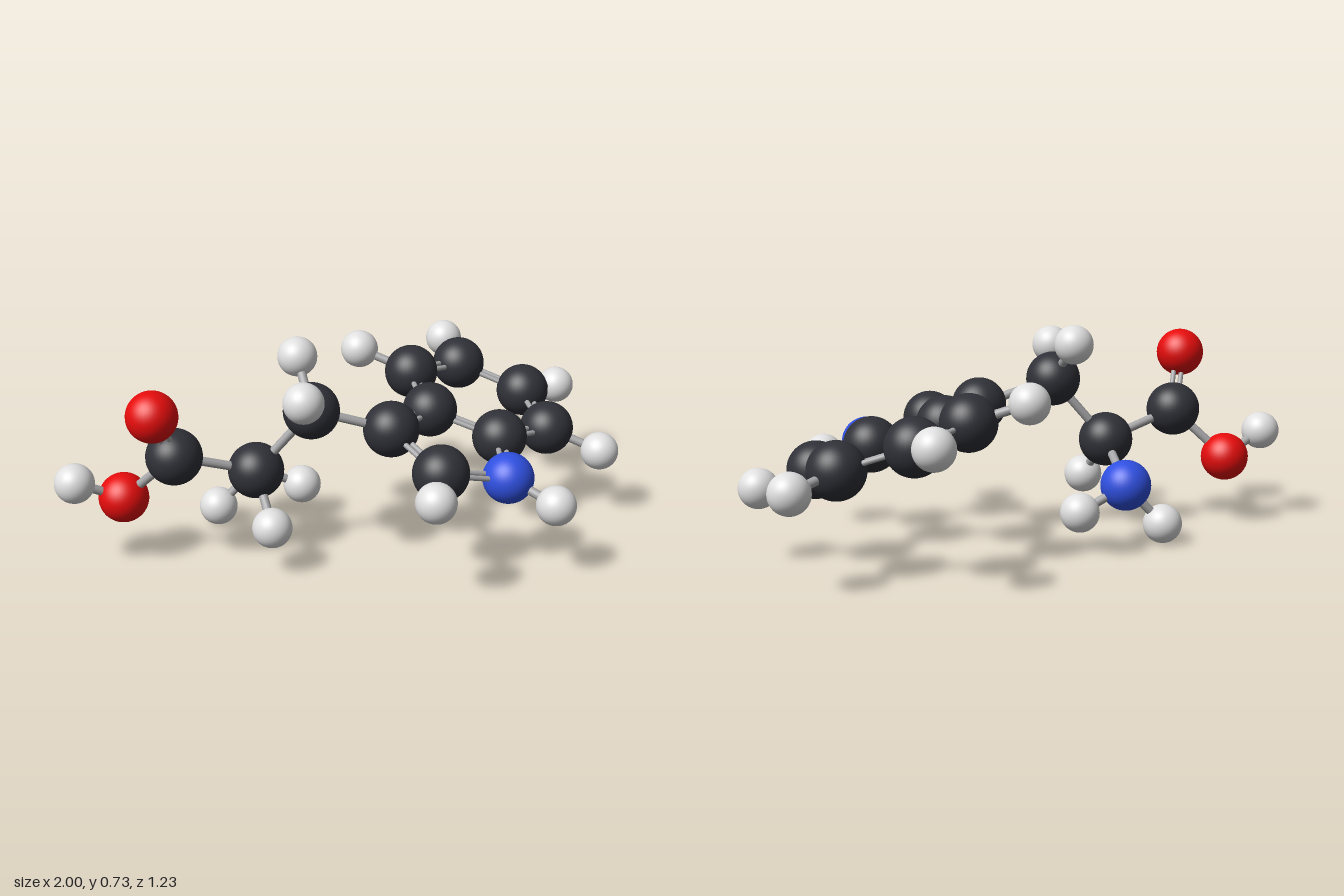
import * as THREE from 'three';

const mat = (name, color) => Object.assign(new THREE.MeshStandardMaterial({ color }), { name });

export function createModel() {
  const model = new THREE.Group();
  model.name = 'ballAndStickMolecule';

  // Kinds of ball: material, radius and part name
  const kinds = {
    C: { material: mat('charcoal', 0x303138), radius: 0.093, name: 'carbon' },
    N: { material: mat('blue', 0x2f50e0), radius: 0.085, name: 'nitrogen' },
    O: { material: mat('red', 0xe60c0c), radius: 0.083, name: 'oxygen' },
    H: { material: mat('white', 0xe0e0e0), radius: 0.066, name: 'hydrogen' },
  };
  const rodMaterial = mat('grey', 0xa6a6a8);

  // Ball centres
  const atoms = {
    // acid end
    acidC: ['C', -0.63, 0.405, -0.04],
    acidO: ['O', -0.72, 0.592, 0.045],
    hydroxylO: ['O', -0.775, 0.237, -0.155],
    hydroxylH: ['H', -0.935, 0.317, -0.155],
    // centre and amine
    alphaC: ['C', -0.36, 0.318, -0.015],
    alphaH: ['H', -0.36, 0.17, 0.127],
    amineN: ['N', -0.28, 0.207, -0.255],
    amineH1: ['H', -0.403, 0.069, -0.297],
    amineH2: ['H', -0.114, 0.128, -0.23],
    // linking carbon
    linkC: ['C', -0.193, 0.533, 0.065],
    linkH1: ['H', -0.28, 0.63, 0.218],
    linkH2: ['H', -0.18, 0.667, -0.086],
    // five-sided ring
    ringC3: ['C', 0.06, 0.453, 0.137],
    ringC2: ['C', 0.127, 0.38, 0.372],
    ringH2: ['H', 0.025, 0.372, 0.545],
    ringN: ['N', 0.374, 0.318, 0.372],
    ringNH: ['H', 0.472, 0.263, 0.518],
    ringC7a: ['C', 0.467, 0.355, 0.137],
    ringC3a: ['C', 0.275, 0.43, -0.013],
    // six-sided ring
    ringC4: ['C', 0.322, 0.475, -0.262],
    ringH4: ['H', 0.175, 0.54, -0.385],
    ringC5: ['C', 0.56, 0.438, -0.357],
    ringH5: ['H', 0.595, 0.467, -0.55],
    ringC6: ['C', 0.745, 0.358, -0.202],
    ringH6: ['H', 0.93, 0.322, -0.277],
    ringC7: ['C', 0.705, 0.312, 0.047],
    ringH7: ['H', 0.853, 0.245, 0.167],
  };
  const at = key => new THREE.Vector3(...atoms[key].slice(1));

  for (const kind of Object.values(kinds)) kind.geometry = new THREE.SphereGeometry(kind.radius, 40, 28);
  for (const [key, [symbol]] of Object.entries(atoms)) {
    const { geometry, material, name } = kinds[symbol];
    const ball = new THREE.Mesh(geometry, material);
    ball.name = `${name} ball ${key}`;
    ball.position.copy(at(key));
    model.add(ball);
  }

  // Rod between two points
  const up = new THREE.Vector3(0, 1, 0);
  function rod(a, b, radius, name) {
    const dir = b.clone().sub(a);
    const mesh = new THREE.Mesh(new THREE.CylinderGeometry(radius, radius, dir.length(), 16, 1, true), rodMaterial);
    mesh.position.copy(a).add(b).multiplyScalar(0.5);
    mesh.quaternion.setFromUnitVectors(up, dir.normalize());
    mesh.name = name;
    model.add(mesh);
  }

  // Single rods
  const singles = [
    'acidC hydroxylO', 'hydroxylO hydroxylH', 'acidC alphaC', 'alphaC alphaH', 'alphaC amineN',
    'amineN amineH1', 'amineN amineH2', 'alphaC linkC', 'linkC linkH1', 'linkC linkH2', 'linkC ringC3',
    'ringC2 ringH2', 'ringN ringNH', 'ringC4 ringH4', 'ringC5 ringH5', 'ringC6 ringH6', 'ringC7 ringH7',
  ];
  for (const pair of singles) {
    const [a, b] = pair.split(' ').map(at);
    rod(a, b, 0.015, 'singleRod');
  }

  // Paired thin rods, spread within the plane given by its normal
  function doubleRod(a, b, normal) {
    const side = b.clone().sub(a).cross(normal).setLength(0.014);
    for (const s of [-1, 1]) {
      const offset = side.clone().multiplyScalar(s);
      rod(a.clone().add(offset), b.clone().add(offset), 0.009, 'doubleRod');
    }
  }
  const planeNormal = (p, q, r) => at(q).sub(at(p)).cross(at(r).sub(at(p))).normalize();
  const ringNormal = planeNormal('ringC2', 'ringC7', 'ringC4');
  const ringPath = ['ringC3', 'ringC2', 'ringN', 'ringC7a', 'ringC7', 'ringC6', 'ringC5', 'ringC4', 'ringC3a'];
  ringPath.forEach((key, i) => doubleRod(at(key), at(ringPath[(i + 1) % ringPath.length]), ringNormal));
  doubleRod(at('ringC3a'), at('ringC7a'), ringNormal);
  doubleRod(at('acidC'), at('acidO'), planeNormal('acidC', 'alphaC', 'hydroxylO'));

  return model;
}
